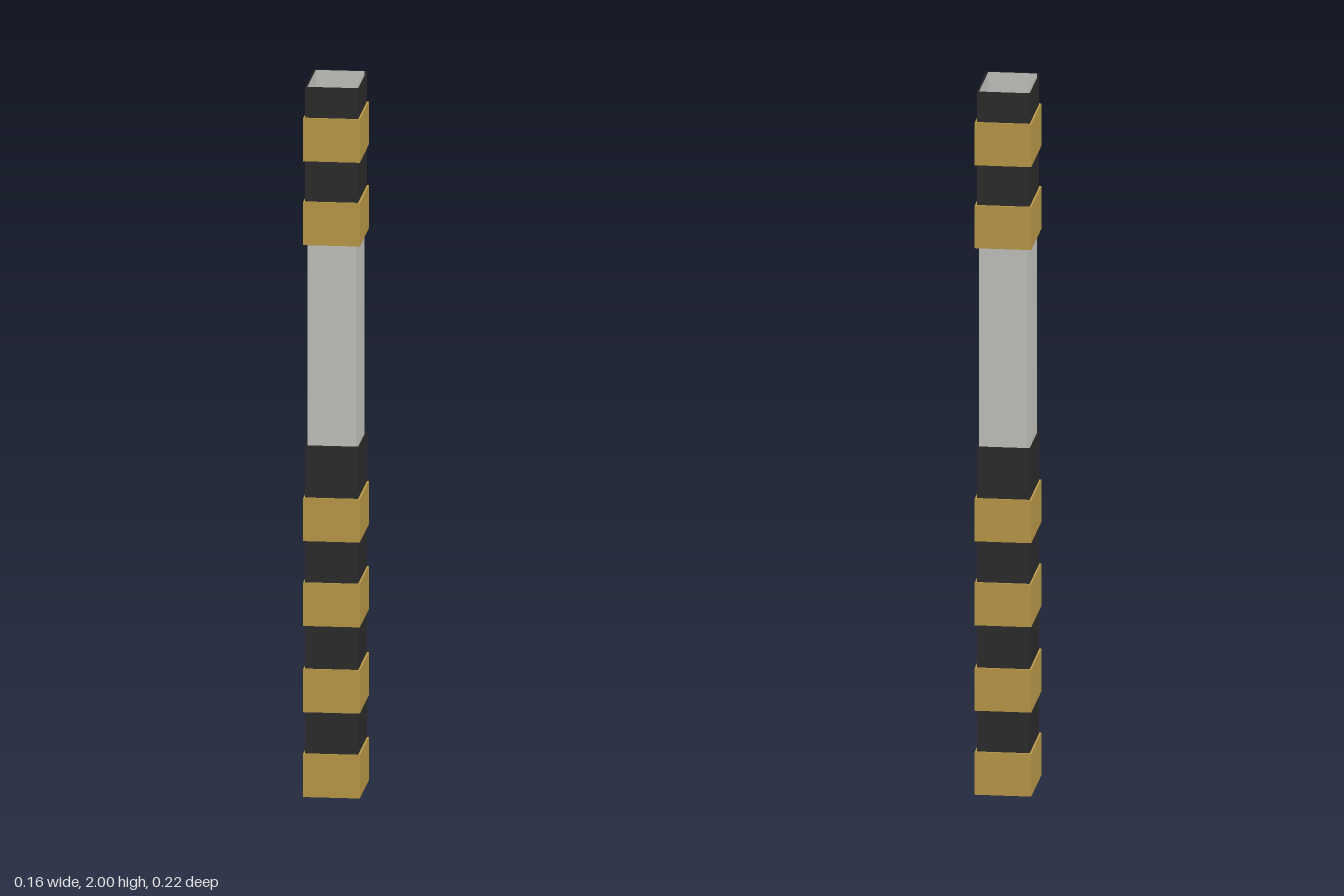
import * as THREE from 'three';

const gold = new THREE.MeshStandardMaterial({ color: 0xbf9d4a });
gold.name = 'gold';
const black = new THREE.MeshStandardMaterial({ color: 0x2c2c2c, side: THREE.DoubleSide });
black.name = 'black';
const grey = new THREE.MeshStandardMaterial({ color: 0xc8c8c3, side: THREE.DoubleSide });
grey.name = 'lightGrey';

// Box spanning y0..y1; open boxes lose their top and bottom faces
function box(name, w, d, y0, y1, material, open = false) {
  const geometry = new THREE.BoxGeometry(w, y1 - y0, d);
  if (open) {
    const index = Array.from(geometry.index.array);
    index.splice(12, 12);
    geometry.setIndex(index);
    geometry.clearGroups();
  }
  const mesh = new THREE.Mesh(geometry, material);
  mesh.name = name;
  mesh.position.y = (y0 + y1) / 2;
  return mesh;
}

export function createModel() {
  const model = new THREE.Group();
  model.name = 'bandedPost';

  // Hollow core, open at the top
  model.add(box('core', 0.134, 0.197, 0.01, 2, grey, true));

  // Dark sleeves around the lower and upper parts
  model.add(box('lowerSleeve', 0.146, 0.206, 0.01, 0.99, black, true));
  model.add(box('upperSleeve', 0.146, 0.206, 1.565, 2, black, true));

  // Solid bands; the highest one closes the hollow top
  [0, 0.239, 0.482, 0.721, 1.555, 1.791].forEach((y, i) => {
    model.add(box('band' + (i + 1), 0.156, 0.216, y, y + 0.122, gold));
  });

  return model;
}
